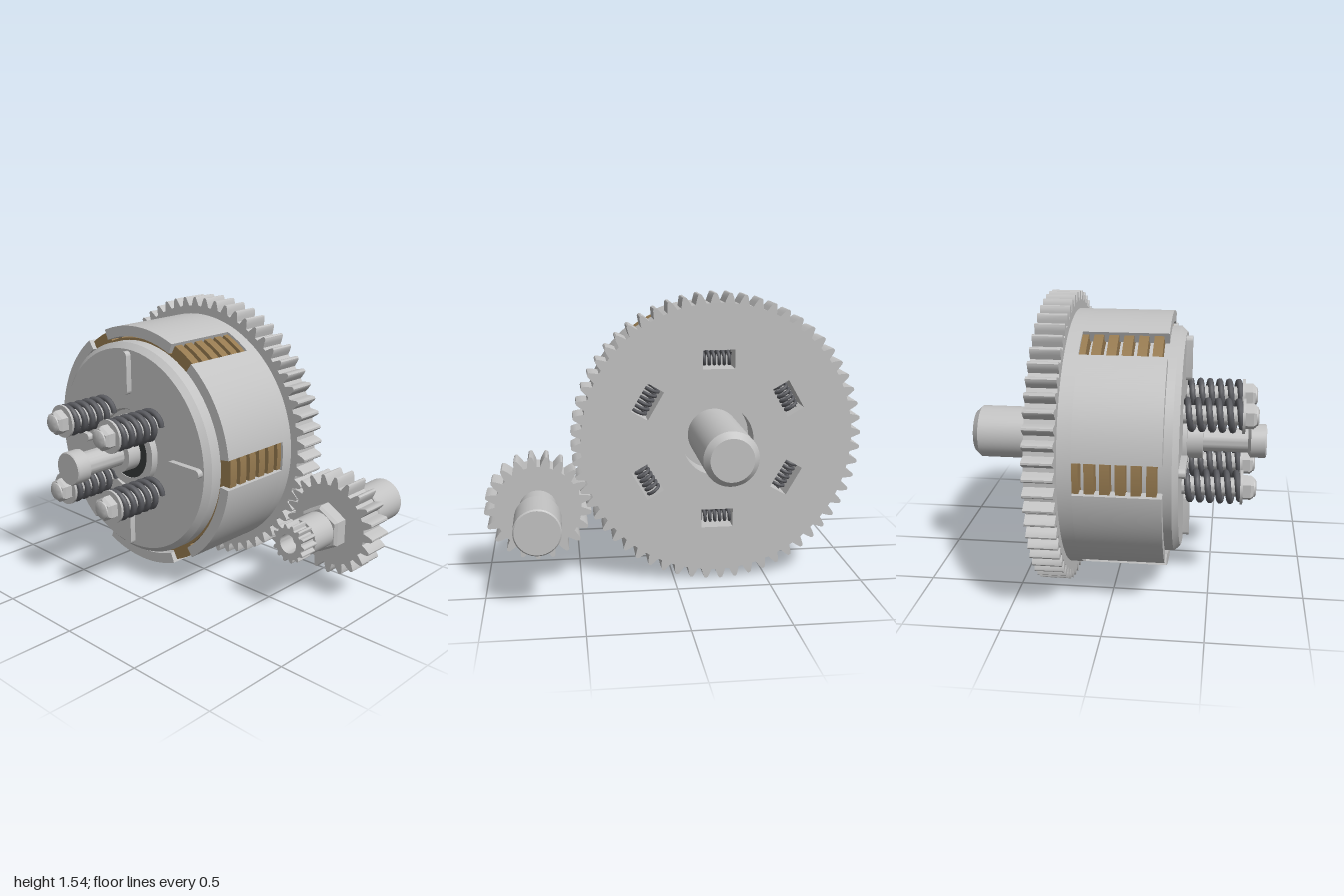
import * as THREE from 'three';
import { toCreasedNormals } from 'three/addons/utils/BufferGeometryUtils.js';

const mat = (name, color) => new THREE.MeshStandardMaterial({ name, color });
const steel = mat('steel', 0xc2c2c2);
const springSteel = mat('springSteel', 0x5a5b60);
const bearingBlack = mat('bearingBlack', 0x363838);
const friction = mat('frictionLining', 0x967a50);

function add(parent, name, geo, material, x = 0, y = 0, z = 0) {
  const m = new THREE.Mesh(geo, material);
  m.name = name;
  m.position.set(x, y, z);
  parent.add(m);
  return m;
}

// Turned part: [radius, z] pairs from back to front, axis along z
function turned(profile, sides = 48) {
  const pts = profile.map(([r, z]) => new THREE.Vector2(r, z));
  const g = new THREE.LatheGeometry(pts, sides);
  g.rotateX(Math.PI / 2);
  return toCreasedNormals(g, 0.5);
}

// Flat outline given depth from z0 to z1
function plate(shape, z0, z1, curveSegments = 24) {
  const g = new THREE.ExtrudeGeometry(shape, { depth: z1 - z0, bevelEnabled: false, curveSegments });
  g.translate(0, 0, z0);
  return toCreasedNormals(g, 0.5);
}

const polar = (r, a) => new THREE.Vector2(r * Math.cos(a), r * Math.sin(a));

// Toothed outline; a tooth is centred on angle `phase`
function gearShape(teeth, root, tip, phase) {
  const profile = [[-0.36, 0], [-0.25, 0.45], [-0.13, 0.9], [-0.06, 1], [0.06, 1], [0.13, 0.9], [0.25, 0.45], [0.36, 0]];
  const pts = [];
  for (let i = 0; i < teeth; i++) {
    for (const [t, h] of profile) pts.push(polar(root + (tip - root) * h, phase + ((i + t) / teeth) * Math.PI * 2));
  }
  return new THREE.Shape(pts);
}

function circleHole(r) {
  return new THREE.Path().absarc(0, 0, r, 0, Math.PI * 2, true);
}

function ringSector(r0, r1, a0, a1) {
  const s = new THREE.Shape();
  s.absarc(0, 0, r1, a0, a1, false);
  s.absarc(0, 0, r0, a1, a0, true);
  return s;
}

class Helix extends THREE.Curve {
  constructor(radius, length, turns) {
    super();
    Object.assign(this, { radius, length, turns });
  }
  getPoint(t, target = new THREE.Vector3()) {
    const a = t * this.turns * Math.PI * 2;
    return target.set(this.radius * Math.cos(a), this.radius * Math.sin(a), t * this.length);
  }
}
const coil = (radius, length, turns, wire) =>
  new THREE.TubeGeometry(new Helix(radius, length, turns), Math.round(turns * 24), wire, 8);

export function createModel() {
  const model = new THREE.Group();
  model.name = 'clutchAssembly';
  const clutch = new THREE.Group();
  clutch.name = 'clutch';
  clutch.position.set(-0.23, 0.775, 0);
  const pinion = new THREE.Group();
  pinion.name = 'pinionShaft';
  pinion.position.set(0.72, 0.435, 0);
  model.add(clutch, pinion);

  const mesh = Math.atan2(0.435 - 0.775, 0.95);
  const step = Math.PI / 3;

  // Large gear with a shaft hole and six spring windows
  const gear = gearShape(60, 0.722, 0.772, mesh);
  gear.holes.push(circleHole(0.19));
  for (let i = 0; i < 6; i++) {
    const a = Math.PI / 2 + i * step;
    const corners = [[-0.05, -0.085], [-0.05, 0.085], [0.05, 0.085], [0.05, -0.085]];
    gear.holes.push(new THREE.Path(corners.map(([r, t]) =>
      new THREE.Vector2(0.43 + r, t).rotateAround(new THREE.Vector2(), a))));
    const spring = add(clutch, 'damperSpring', coil(0.034, 0.16, 6, 0.009), springSteel);
    const holder = new THREE.Group();
    holder.name = 'damperSpringHolder';
    holder.rotation.z = a;
    spring.rotation.x = -Math.PI / 2;
    spring.position.set(0.43, -0.08, -0.3);
    holder.add(spring);
    clutch.add(holder);
  }
  add(clutch, 'largeGear', plate(gear, -0.37, -0.22), steel);

  // Basket: floor, closed rear band and six walls between open slots
  const floor = new THREE.Shape().absarc(0, 0, 0.66, 0, Math.PI * 2);
  add(clutch, 'basketFloor', plate(floor, -0.225, -0.2, 48), steel);
  const band = new THREE.Shape().absarc(0, 0, 0.678, 0, Math.PI * 2);
  band.holes.push(circleHole(0.62));
  add(clutch, 'basketBand', plate(band, -0.22, -0.15, 72), steel);
  const half = 0.121;
  for (let i = 0; i < 6; i++) {
    add(clutch, 'basketWall', plate(ringSector(0.62, 0.678, i * step + half, (i + 1) * step - half), -0.15, 0.28), steel);
  }

  // Stack of lined plates with tabs reaching through the slots
  const disc = new THREE.Shape();
  for (let i = 0; i < 6; i++) {
    disc.absarc(0, 0, 0.665, i * step - 0.115, i * step + 0.115, false);
    disc.absarc(0, 0, 0.61, i * step + 0.125, (i + 1) * step - 0.125, false);
  }
  disc.holes.push(circleHole(0.45));
  const discGeo = plate(disc, 0, 0.048, 12);
  for (let i = 0; i < 6; i++) add(clutch, 'frictionPlate', discGeo, friction, 0, 0, 0.206 - i * 0.0745);
  add(clutch, 'steelPlates', turned([[0, -0.19], [0.59, -0.19], [0.59, 0.25], [0, 0.25]], 64), steel);

  // Pressure plate with a stepped centre and four ribs
  add(clutch, 'pressurePlate', turned([[0, 0.24], [0.597, 0.24], [0.597, 0.32], [0.567, 0.35], [0.235, 0.35],
    [0.225, 0.33], [0.2, 0.33], [0.2, 0.37], [0.155, 0.37], [0.155, 0.35], [0, 0.35]], 80), steel);
  const rib = new THREE.Shape();
  rib.absarc(0.535, 0, 0.024, -Math.PI / 2, Math.PI / 2, false);
  rib.absarc(0.345, 0, 0.024, Math.PI / 2, Math.PI * 1.5, false);
  const ribGeo = plate(rib, 0.34, 0.383, 6);
  for (let i = 0; i < 4; i++) add(clutch, 'rib', ribGeo, steel).rotation.z = i * Math.PI / 2;

  // Release bearing and push rod
  const bearing = new THREE.Shape().absarc(0, 0, 0.154, 0, Math.PI * 2);
  bearing.holes.push(circleHole(0.1));
  add(clutch, 'releaseBearing', plate(bearing, 0.34, 0.367, 32), bearingBlack);
  add(clutch, 'pushRod', turned([[0, 0.34], [0.104, 0.34], [0.104, 0.45], [0.065, 0.45], [0.065, 0.685],
    [0.09, 0.7], [0.09, 0.775], [0.085, 0.782], [0, 0.782]]), steel);

  // Main shaft at the back
  add(clutch, 'mainShaft', turned([[0, -0.782], [0.11, -0.782], [0.14, -0.75], [0.14, -0.2], [0, -0.2]]), steel);

  // Four sprung bolts
  const coilGeo = coil(0.074, 0.29, 5.6, 0.0165);
  const postGeo = turned([[0.048, 0.34], [0.048, 0.65], [0.09, 0.65], [0.09, 0.664], [0, 0.664]], 32);
  const headGeo = turned([[0.068, 0.66], [0.068, 0.705], [0.055, 0.72], [0, 0.72]], 6);
  const domeGeo = turned([[0.05, 0.715], [0.047, 0.727], [0.035, 0.733], [0, 0.734]], 24);
  for (const sx of [-1, 1]) {
    for (const sy of [-1, 1]) {
      const bolt = new THREE.Group();
      bolt.name = 'sprungBolt';
      bolt.position.set(sx * 0.19, sy * 0.193, 0);
      add(bolt, 'clutchSpring', coilGeo, springSteel, 0, 0, 0.358);
      add(bolt, 'boltPost', postGeo, steel);
      add(bolt, 'boltHead', headGeo, steel);
      add(bolt, 'boltDome', domeGeo, steel);
      clutch.add(bolt);
    }
  }

  // Small gear meshing with the large one
  const small = gearShape(21, 0.226, 0.28, mesh + Math.PI + Math.PI / 21);
  add(pinion, 'smallGear', plate(small, -0.37, -0.22), steel);

  // Pinion shaft, hex nut and splined hollow end
  add(pinion, 'pinionAxle', turned([[0, -0.75], [0.113, -0.75], [0.12, -0.743], [0.12, -0.527], [0.113, -0.52],
    [0.1, -0.52], [0.1, 0.025], [0, 0.025]]), steel);
  add(pinion, 'hexNut', turned([[0.12, -0.22], [0.133, -0.21], [0.133, -0.145], [0.118, -0.13], [0, -0.13]], 6), steel);
  const spline = gearShape(14, 0.086, 0.105, 0);
  spline.holes.push(circleHole(0.052));
  add(pinion, 'splinedEnd', plate(spline, 0.02, 0.125), steel);
  return model;
}
